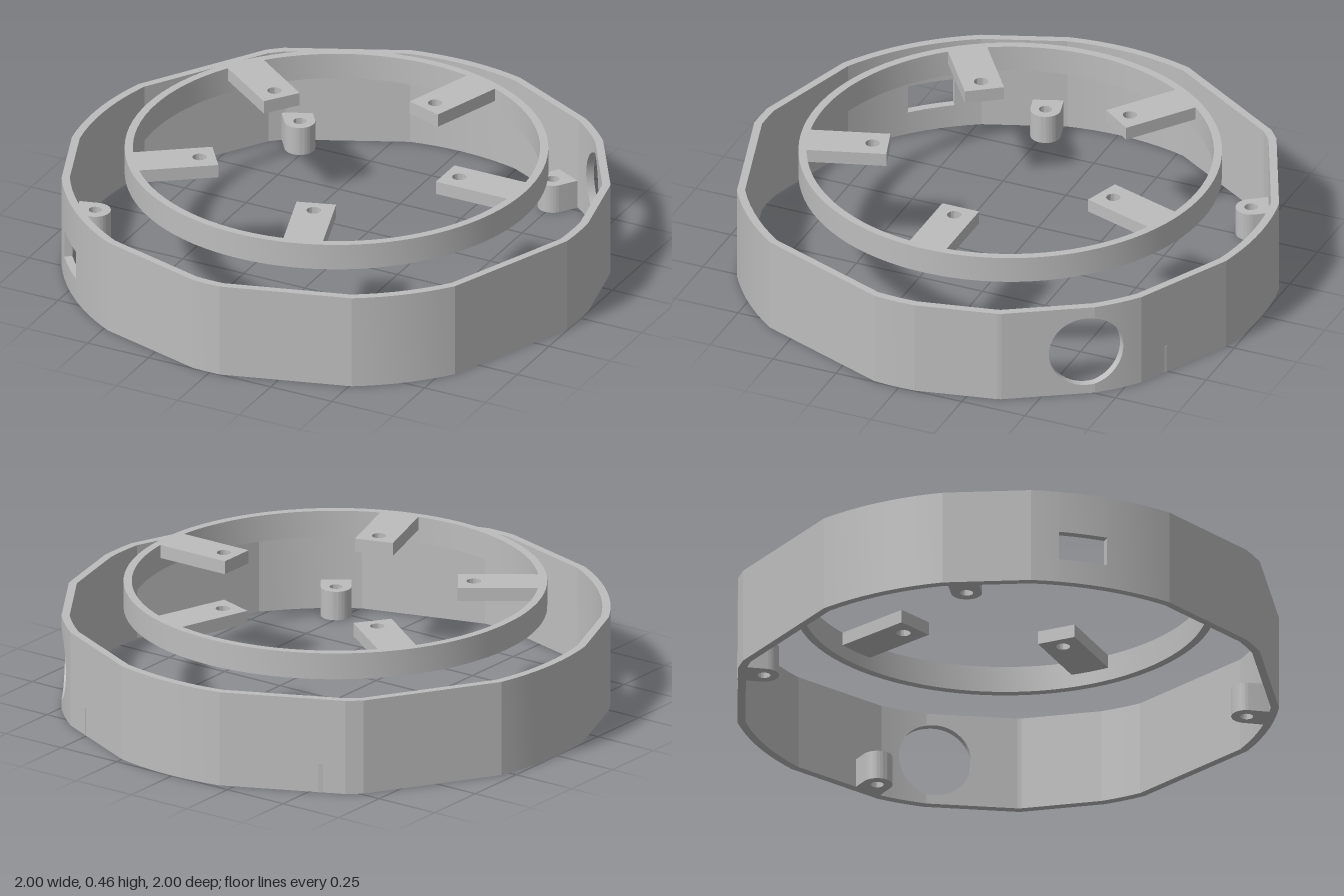
import * as THREE from 'three';
import { toCreasedNormals } from 'three/addons/utils/BufferGeometryUtils.js';

const rad = THREE.MathUtils.degToRad;
const WALL_H = 0.36, RING_TOP = 0.46;

// Round stretches of the housing outline in degrees (from +x towards +z); straight flats join them.
const ARCS = [[-101.5, -75.5], [-52.3, -41.8], [-22, -21.2], [-3.5, 5.7], [37, 59.4], [87.7, 94],
  [118.7, 150], [168.5, 196.5], [227.8, 231.5]];
const START = -101.5, END = START + 360;
const PORT = { angle: -40.1, y: 0.175, r: 0.14 };
const SLOT = { from: 133.6, to: 144.1, low: 0.09, high: 0.2 };

// Outline radius: 1 on the arcs, a straight chord between them
function radiusAt(deg) {
  for (let i = 0; i < ARCS.length; i++) {
    const a = ARCS[i][1], b = i + 1 < ARCS.length ? ARCS[i + 1][0] : END;
    if (deg > a && deg < b) return Math.cos(rad((b - a) / 2)) / Math.cos(rad(deg - (a + b) / 2));
  }
  return 1;
}

// Housing wall built column by column, split above and below the openings
function wallGeometry() {
  const angles = [END];
  ARCS.forEach(([a, b]) => {
    const n = Math.max(1, Math.round((b - a) / 3));
    for (let i = 0; i <= n; i++) angles.push(a + (b - a) * i / n);
  });
  const spread = THREE.MathUtils.radToDeg(Math.asin(PORT.r));
  for (let i = 0; i <= 24; i++) angles.push(PORT.angle - spread * Math.cos(Math.PI * i / 24));
  angles.push(SLOT.from, SLOT.to);
  angles.sort((a, b) => a - b);
  const cols = angles.filter((a, i) => i === 0 || a - angles[i - 1] > 1e-4);

  const pos = [];
  const point = (deg, y, inner) => {
    const r = radiusAt(deg) * (inner ? 0.97 : 1);
    return [r * Math.cos(rad(deg)), y, r * Math.sin(rad(deg))];
  };
  const quad = (a, b, c, d) => pos.push(...a, ...b, ...c, ...a, ...c, ...d);
  const block = (a, b, loA, hiA, loB, hiB) => {
    const [oa0, oa1, ob0, ob1] = [point(a, loA), point(a, hiA), point(b, loB), point(b, hiB)];
    const [ia0, ia1, ib0, ib1] = [point(a, loA, 1), point(a, hiA, 1), point(b, loB, 1), point(b, hiB, 1)];
    quad(oa0, oa1, ob1, ob0);
    quad(ib0, ib1, ia1, ia0);
    quad(ia1, ib1, ob1, oa1);
    quad(oa0, ob0, ib0, ia0);
  };
  const portHalf = (deg) => Math.sqrt(Math.max(0, PORT.r ** 2 - Math.sin(rad(deg - PORT.angle)) ** 2));

  for (let i = 0; i + 1 < cols.length; i++) {
    const a = cols[i], b = cols[i + 1], mid = (a + b) / 2;
    if (Math.abs(mid - PORT.angle) < spread) {
      const ha = portHalf(a), hb = portHalf(b);
      block(a, b, 0, PORT.y - ha, 0, PORT.y - hb);
      block(a, b, PORT.y + ha, WALL_H, PORT.y + hb, WALL_H);
    } else if (mid > SLOT.from && mid < SLOT.to) {
      block(a, b, 0, SLOT.low, 0, SLOT.low);
      block(a, b, SLOT.high, WALL_H, SLOT.high, WALL_H);
    } else {
      block(a, b, 0, WALL_H, 0, WALL_H);
    }
  }
  // Slot sides
  const { from, to, low, high } = SLOT;
  quad(point(from, low, 1), point(from, low), point(from, high), point(from, high, 1));
  quad(point(to, high, 1), point(to, high), point(to, low), point(to, low, 1));

  const geo = new THREE.BufferGeometry();
  geo.setAttribute('position', new THREE.Float32BufferAttribute(pos, 3));
  return toCreasedNormals(geo, 0.14);
}

// Flat shape raised upwards from y
function plate(shape, y, depth) {
  const geo = new THREE.ExtrudeGeometry(shape, { depth, bevelEnabled: false, curveSegments: 24 });
  geo.rotateX(-Math.PI / 2).translate(0, y, 0);
  return toCreasedNormals(geo, 0.6);
}

function addHole(shape, x, r) {
  shape.holes.push(new THREE.Path().absarc(x, 0, r, 0, Math.PI * 2, true));
}

export function createModel() {
  const group = new THREE.Group();
  const grey = new THREE.MeshStandardMaterial({ color: 0xbdbdbd });
  grey.name = 'grey';
  const add = (name, geo, deg = 0) => {
    const mesh = new THREE.Mesh(geo, grey);
    mesh.name = name;
    mesh.rotation.y = -rad(deg);
    group.add(mesh);
  };

  add('housingWall', wallGeometry());

  // Raised inner ring
  const profile = [[0.74, 0.36], [0.77, 0.36], [0.77, RING_TOP], [0.74, RING_TOP], [0.74, 0.36]];
  const ring = new THREE.LatheGeometry(profile.map(([x, y]) => new THREE.Vector2(x, y)), 96);
  add('innerRing', toCreasedNormals(ring, 0.5));

  // Five drilled tabs pointing inwards, flush with the ring's top
  const tab = new THREE.Shape();
  tab.moveTo(0.445, -0.073).lineTo(0.745, -0.073).lineTo(0.745, 0.073).lineTo(0.445, 0.073).closePath();
  addHole(tab, 0.503, 0.026);
  const tabGeo = plate(tab, RING_TOP - 0.05, 0.05);
  for (let i = 0; i < 5; i++) add('mountingTab', tabGeo, i * 72);

  // Four screw bosses on the foot of the wall
  const boss = new THREE.Shape();
  boss.moveTo(0.983, -0.056).lineTo(0.983, 0.056).lineTo(0.895, 0.056);
  boss.absarc(0.895, 0, 0.056, Math.PI / 2, Math.PI * 1.5, false);
  boss.closePath();
  addHole(boss, 0.895, 0.024);
  const bossGeo = plate(boss, 0, 0.11);
  [-126, -56, 53.8, 164.4].forEach((deg) => add('screwBoss', bossGeo, deg));

  return group;
}
